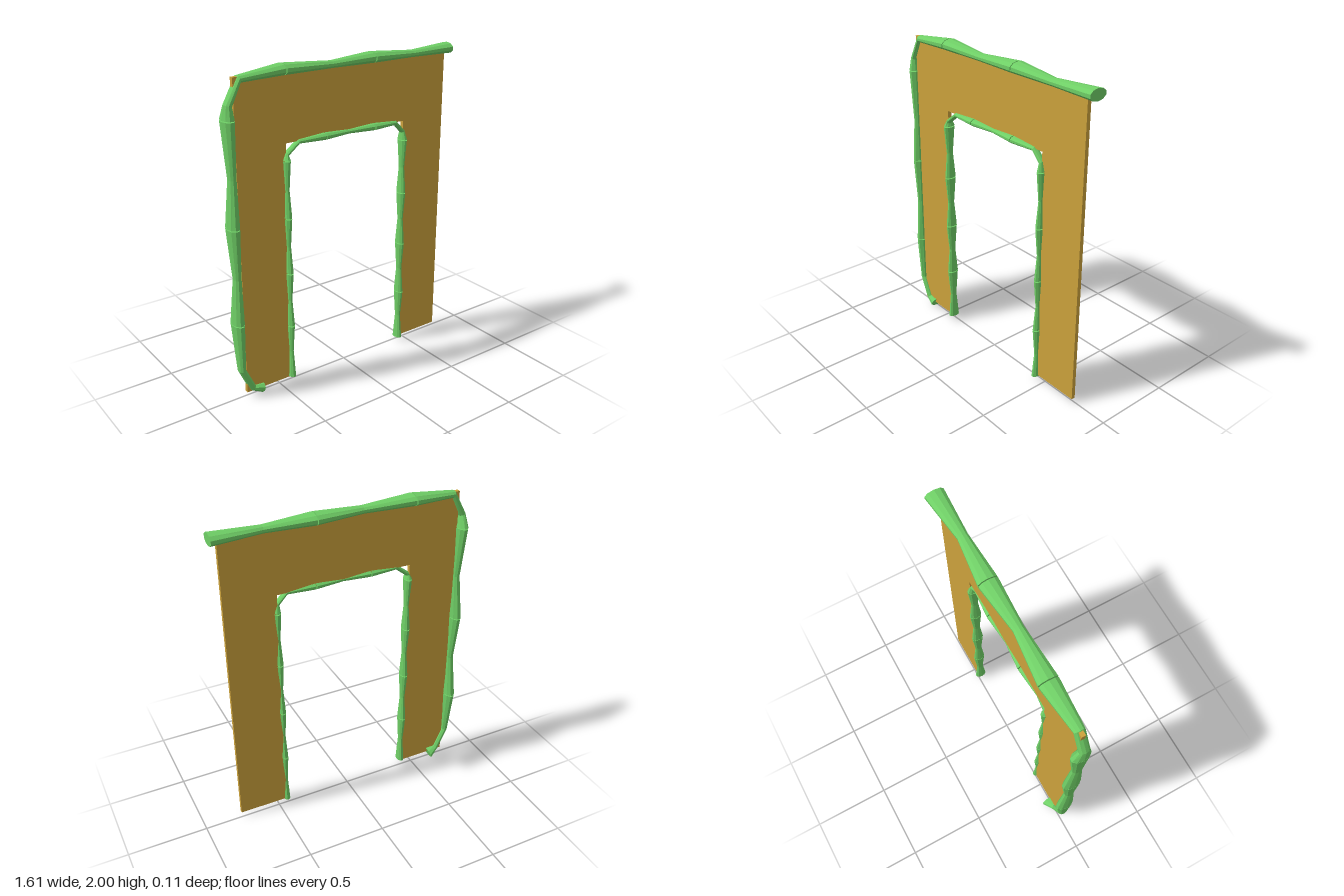
import * as THREE from 'three';

const SIDES = 10;
const green = new THREE.MeshStandardMaterial({ color: 0x6fcf66, flatShading: true });
const tan = new THREE.MeshStandardMaterial({ color: 0xcca23c });

// Closed tube through elliptical rings lying across a path in the xy plane
function tubeGeometry(rings) {
  const pos = [], index = [];
  for (const r of rings) {
    for (let j = 0; j < SIDES; j++) {
      const a = (j / SIDES) * Math.PI * 2;
      const n = Math.cos(a) * r.size.w;
      pos.push(r.x - r.ty * n, r.y + r.tx * n, r.size.z + Math.sin(a) * r.size.d);
    }
  }
  const last = rings.length - 1;
  const start = pos.length / 3;
  for (const r of [rings[0], rings[last]]) pos.push(r.x, r.y, r.size.z);
  for (let j = 0; j < SIDES; j++) {
    const k = (j + 1) % SIDES;
    for (let i = 0; i < last; i++) {
      const a = i * SIDES, b = a + SIDES;
      index.push(a + j, a + k, b + k, a + j, b + k, b + j);
    }
    index.push(start, k, j, start + 1, last * SIDES + j, last * SIDES + k);
  }
  const indexed = new THREE.BufferGeometry();
  indexed.setAttribute('position', new THREE.Float32BufferAttribute(pos, 3));
  indexed.setIndex(index);
  const geometry = indexed.toNonIndexed();
  geometry.computeVertexNormals();
  return geometry;
}

// Bamboo cane: points are [x, y, isNode]; it is split into segments at the wide nodes
function cane(name, points, node, waist) {
  const group = new THREE.Group();
  group.name = name;
  const rings = points.map(([x, y, isNode], i) => {
    const p = points[Math.max(i - 1, 0)], q = points[Math.min(i + 1, points.length - 1)];
    const t = new THREE.Vector2(q[0] - p[0], q[1] - p[1]).normalize();
    return { x, y, tx: t.x, ty: t.y, isNode, size: isNode ? node : waist };
  });
  const gap = 0.003;
  const shifted = (r, s) => ({ ...r, x: r.x + r.tx * s, y: r.y + r.ty * s });
  let segment = [rings[0]];
  for (let i = 1; i < rings.length; i++) {
    const end = i === rings.length - 1;
    if (!rings[i].isNode && !end) {
      segment.push(rings[i]);
      continue;
    }
    segment.push(end ? rings[i] : shifted(rings[i], -gap));
    const mesh = new THREE.Mesh(tubeGeometry(segment), green);
    mesh.name = 'caneSegment';
    group.add(mesh);
    segment = [shifted(rings[i], gap)];
  }
  return group;
}

export function createModel() {
  const model = new THREE.Group();
  model.name = 'bambooDoorway';

  // Flat panel with the door opening
  const outline = new THREE.Shape([
    [-0.74, 0.04], [-0.42, 0.04], [-0.42, 1.55], [0.44, 1.55],
    [0.44, 0.04], [0.76, 0.04], [0.76, 1.96], [-0.74, 1.96],
  ].map(([x, y]) => new THREE.Vector2(x, y)));
  const panel = new THREE.Mesh(
    new THREE.ExtrudeGeometry(outline, { depth: 0.025, bevelEnabled: false }), tan);
  panel.name = 'wallPanel';
  model.add(panel);

  // Thick cane along the outer side and top
  model.add(cane('outerCane', [
    [-0.635, 0.038, true], [-0.70, 0.06, false], [-0.765, 0.2, false],
    [-0.77, 0.51, true], [-0.765, 0.8, false], [-0.77, 1.11, true],
    [-0.765, 1.4, false], [-0.77, 1.73, true], [-0.77, 1.81, false],
    [-0.70, 1.945, false], [-0.42, 1.965, true], [-0.1, 1.957, false],
    [0.2, 1.965, true], [0.5, 1.957, false], [0.805, 1.963, true],
  ], { w: 0.035, d: 0.06, z: 0 }, { w: 0.023, d: 0.033, z: 0.012 }));

  // Thin cane around the opening
  const inner = [[-0.42, 0.045, true]];
  for (const y of [0.4, 0.75, 1.1, 1.45]) {
    inner.push([-0.42, y - 0.18, false], [-0.42, y, true]);
  }
  inner.push([-0.415, 1.485, false], [-0.335, 1.547, false],
    [-0.155, 1.55, true], [0.02, 1.55, false], [0.2, 1.55, true],
    [0.375, 1.547, false], [0.435, 1.485, false]);
  for (const y of [1.43, 1.08, 0.73, 0.38]) {
    inner.push([0.44, y, true], [0.44, y - 0.18, false]);
  }
  inner.push([0.44, 0.035, true]);
  model.add(cane('innerCane', inner,
    { w: 0.023, d: 0.038, z: 0.02 }, { w: 0.014, d: 0.022, z: 0.02 }));

  return model;
}
